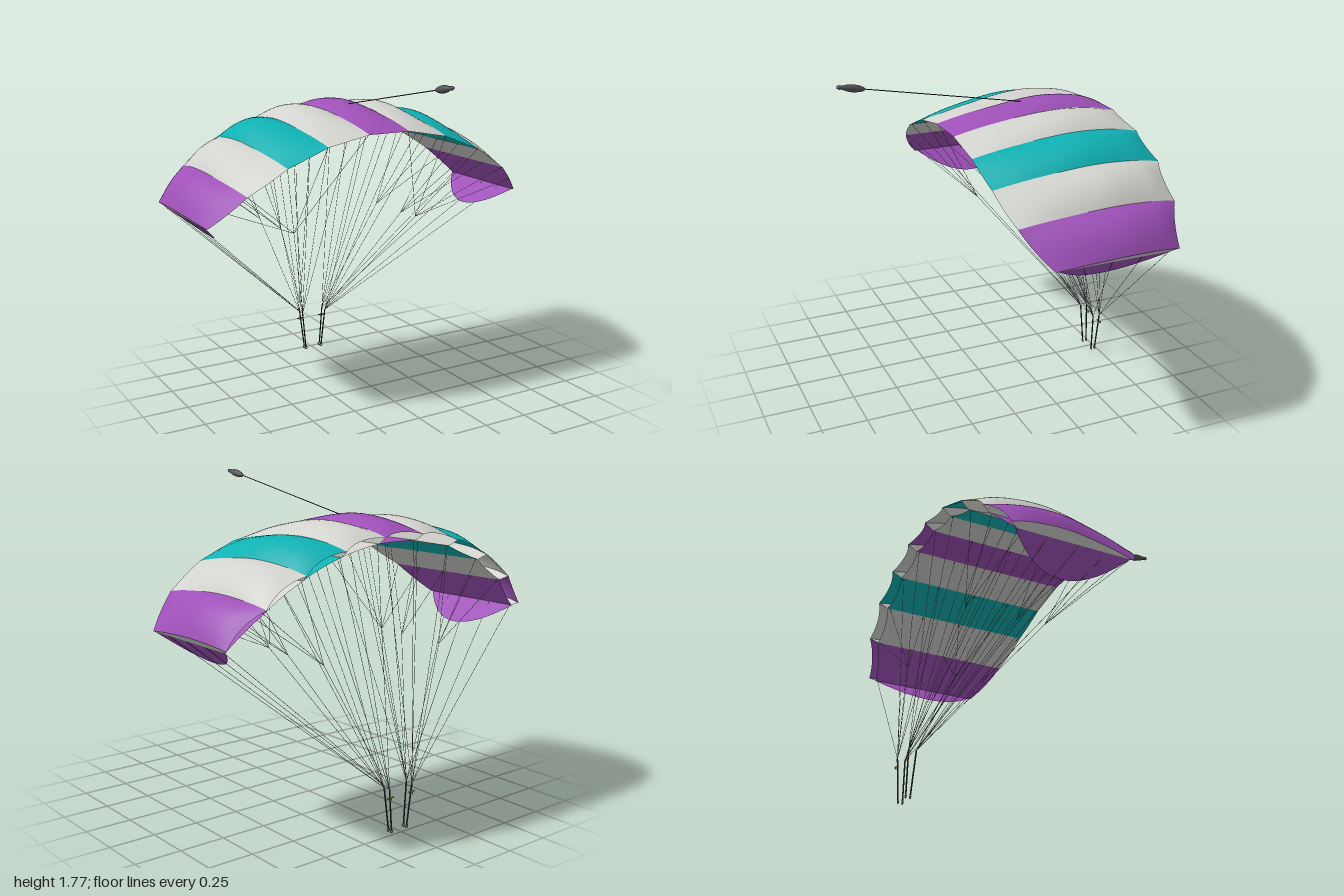
import * as THREE from 'three';

const mat = (name, color, double = true) => {
  const m = new THREE.MeshStandardMaterial({ color, side: double ? THREE.DoubleSide : THREE.FrontSide });
  m.name = name;
  return m;
};

// Arc of the canopy seen from the front, split into nine cells
const CELLS = 9, CENTRE_Y = 0.21, RADIUS = 1.266, TIP = THREE.MathUtils.degToRad(49);
const STEP = (2 * TIP) / CELLS, LIP = 0.945;

// Aerofoil: x runs from trailing edge (0) to nose (1), y is relative height
const profile = new THREE.SplineCurve([[0, 0], [0.1, 0.26], [0.23, 0.54], [0.48, 0.92], [0.66, 1], [0.86, 0.8], [1, 0.43]]
  .map(([x, y]) => new THREE.Vector2(x, y))).getPoints(24);

const trailing = (a) => 0.19 - 0.17 * Math.abs(a / TIP) ** 4.5;
const nose = (a) => -0.737 + 0.1 * Math.abs(a / TIP) ** 4.5;
const radial = (a, r, z) => new THREE.Vector3(r * Math.sin(a), CENTRE_Y + r * Math.cos(a), z);

// Point on the canopy: cell middle angle, v from -1 to 1 across the cell,
// t along the chord and h as relative height above the lower skin
function canopyPoint(mid, v, t, h) {
  const a = mid + v * STEP / 2, puff = 1 - v * v;
  const front = nose(a), back = trailing(a), chord = back - front;
  const flat = Math.cos(STEP / 2) / Math.cos(a - mid);
  const r = (RADIUS + 0.086 * chord * h) * flat + 0.038 * chord / 0.92 * puff * h;
  return radial(a, r, back - chord * t + 0.026 * puff * t ** 10);
}

// Grid surface from a point function
function surface(nu, nv, point) {
  const pos = [], index = [];
  for (let i = 0; i <= nu; i++) for (let j = 0; j <= nv; j++) pos.push(...point(i, j).toArray());
  for (let i = 0; i < nu; i++) for (let j = 0; j < nv; j++) {
    const a = i * (nv + 1) + j, b = a + nv + 1;
    index.push(a, b, a + 1, b, b + 1, a + 1);
  }
  const g = new THREE.BufferGeometry();
  g.setAttribute('position', new THREE.Float32BufferAttribute(pos, 3));
  g.setIndex(index);
  g.computeVertexNormals();
  return g;
}

export function createModel() {
  const root = new THREE.Group();
  root.name = 'parachute';
  const purple = mat('purple fabric', 0x9e50b8);
  const teal = mat('teal fabric', 0x0fb0b2);
  const grey = mat('light grey fabric', 0xd2d2ce);
  const cord = mat('line cord', 0x6a6a6a, false);
  const webbing = mat('dark webbing', 0x3a3a3e, false);
  const yellow = mat('toggle yellow', 0xb89a3c, false);
  const metal = mat('ring metal', 0xb4b4b4, false);
  const pilotCloth = mat('pilot chute cloth', 0x55555a, false);

  const add = (name, geometry, material, parent = root) => {
    const m = new THREE.Mesh(geometry, material);
    m.name = name;
    parent.add(m);
    return m;
  };
  const rod = (name, a, b, radius, material, parent, sides = 5) => {
    const d = b.clone().sub(a);
    const m = add(name, new THREE.CylinderGeometry(radius, radius, d.length(), sides), material, parent);
    m.position.copy(a).addScaledVector(d, 0.5);
    m.quaternion.setFromUnitVectors(new THREE.Vector3(0, 1, 0), d.normalize());
    return m;
  };

  // Canopy cells with puffed upper skin, flat lower skin and an open nose
  const canopy = new THREE.Group();
  canopy.name = 'canopy';
  root.add(canopy);
  const N = profile.length - 1, ACROSS = 12;
  const colours = [purple, grey, teal, grey];
  for (let c = 0; c < CELLS; c++) {
    const mid = (c - 4) * STEP, material = colours[c % 4];
    add('upperSkin', surface(ACROSS, N, (i, j) =>
      canopyPoint(mid, 1 - 2 * i / ACROSS, profile[j].x, profile[j].y)).scale(1, 1, 1), material, canopy);
    add('lowerSkin', surface(ACROSS, N, (i, j) =>
      canopyPoint(mid, -1 + 2 * i / ACROSS, profile[j].x * LIP, 0)), material, canopy);
  }

  // Ribs between the cells and at both tips
  for (let k = 0; k <= CELLS; k++) {
    const mid = (Math.min(k, 8) - 4) * STEP, v = k === 9 ? 1 : -1;
    add('rib', surface(1, N, (i, j) => canopyPoint(mid, v, profile[j].x * (i ? 1 : LIP), i ? profile[j].y : 0)),
      grey, canopy);
  }

  // Curved stabiliser panels hanging from the tips
  for (const s of [-1, 1]) {
    const front = nose(TIP) + 0.03, back = trailing(TIP) - 0.015;
    add('stabiliser', surface(24, 1, (i, j) => {
      const t = i / 24;
      return radial(s * TIP, RADIUS - j * 0.183 * 4 * t * (1 - t), back + (front - back) * t);
    }), purple, canopy);
  }

  // Suspension lines, risers and toggles, mirrored left and right
  for (const s of [-1, 1]) {
    const side = new THREE.Group();
    side.name = s > 0 ? 'leftRigging' : 'rightRigging';
    root.add(side);
    const V = (x, y, z) => new THREE.Vector3(s * x, y, z);
    const attach = (rib, t) => canopyPoint(s * rib * STEP, s, t, 0);
    const line = (a, b) => rod('line', a, b, 0.0011, cord, side);
    const frontTop = V(0.077, 0.24, -0.74), rearTop = V(0.077, 0.24, -0.7);
    const brake = V(0.39, 0.91, -0.16);

    for (const rib of [0, 1, 4]) {
      line(frontTop, attach(rib, 0.93));
      line(frontTop, attach(rib, 0.7));
      line(rearTop, attach(rib, 0.45));
      line(rearTop, attach(rib, 0.22));
    }
    // Cascaded lines to the two ribs between
    for (const [top, z, ts] of [[frontTop, -0.6, [0.93, 0.7]], [rearTop, -0.32, [0.45, 0.22]]]) {
      const fork = V(0.39, 0.9, z);
      line(top, fork);
      for (const rib of [2, 3]) for (const t of ts) line(fork, attach(rib, t));
    }
    // Brake lines to the trailing edge
    line(rearTop, brake);
    for (const rib of [0, 1, 2, 3]) line(brake, attach(rib, 0.01));
    line(brake, canopyPoint(s * 4 * STEP, 0, 0.01, 0));

    // Two risers with a ring at the foot
    rod('frontRiser', V(0.053, 0.015, -0.733), frontTop, 0.004, webbing, side, 8);
    rod('rearRiser', V(0.053, 0.015, -0.71), rearTop, 0.004, webbing, side, 8);
    for (const z of [-0.733, -0.71]) {
      const ring = add('riserRing', new THREE.TorusGeometry(0.008, 0.003, 8, 16), metal, side);
      ring.position.copy(V(0.052, 0.011, z));
    }
    rod('toggle', V(0.053, 0.197, -0.743), V(0.093, 0.197, -0.743), 0.004, yellow, side, 8);
    const guide = add('toggleRing', new THREE.TorusGeometry(0.006, 0.002, 8, 14), metal, side);
    guide.position.copy(V(0.073, 0.19, -0.745));
    guide.rotation.y = Math.PI / 2;
  }

  // Pilot chute trailing on its bridle
  const bridleEnd = new THREE.Vector3(0, 1.732, 0.605);
  rod('bridle', new THREE.Vector3(0, 1.574, -0.25), bridleEnd, 0.0025, webbing, root, 6);
  const outline = [[0, 0], [0.009, 0.008], [0.016, 0.03], [0.02, 0.065], [0.017, 0.095], [0.011, 0.115],
    [0.01, 0.125], [0.011, 0.135], [0.008, 0.146], [0, 0.15]].map(([x, y]) => new THREE.Vector2(x, y));
  const pilot = add('pilotChute', new THREE.LatheGeometry(outline, 20), pilotCloth);
  pilot.position.copy(bridleEnd);
  pilot.quaternion.setFromUnitVectors(new THREE.Vector3(0, 1, 0), new THREE.Vector3(0, 0.17, 1).normalize());
  return root;
}
